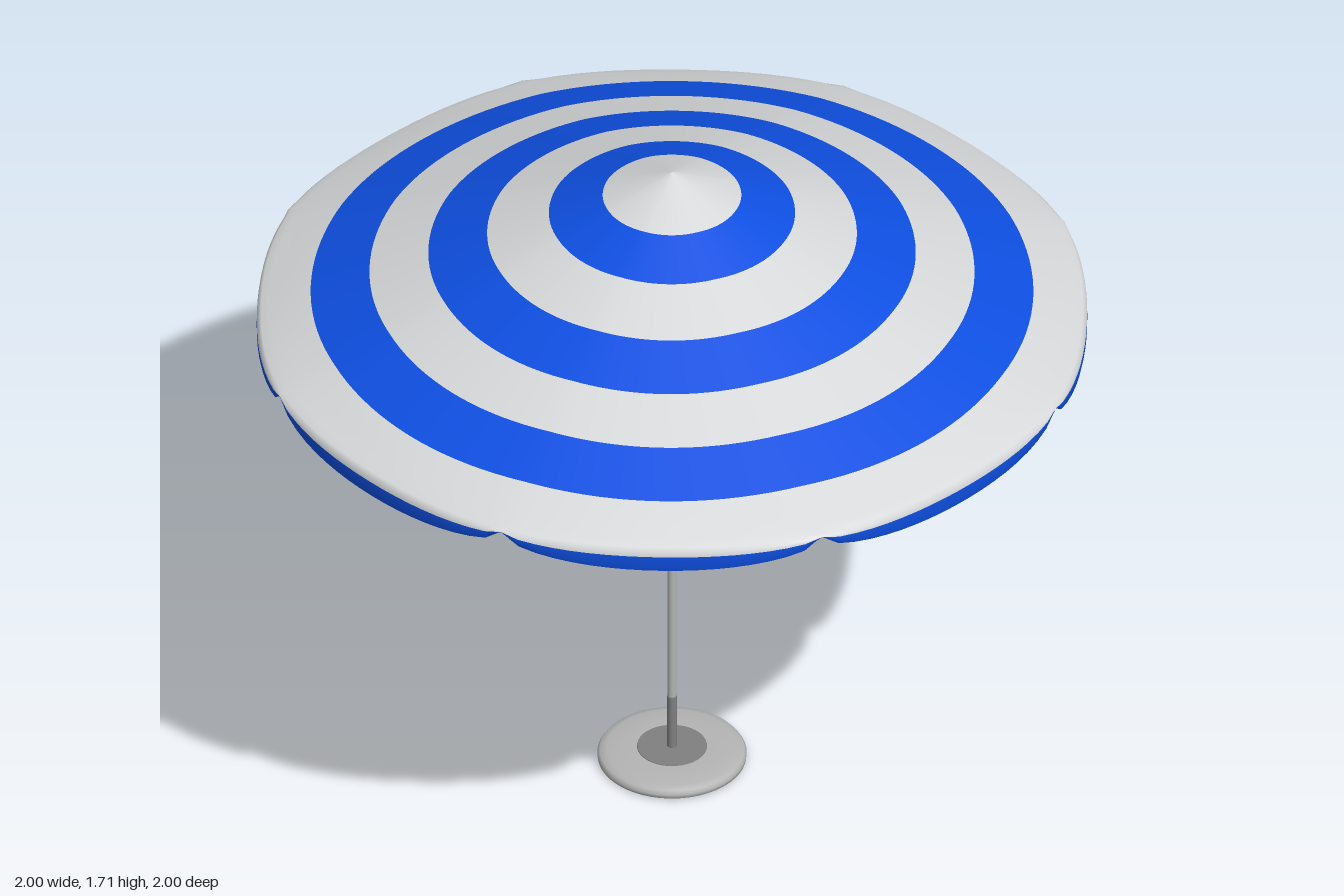
import * as THREE from 'three';

const fabric = (name, color) => new THREE.MeshStandardMaterial({ name, color, side: THREE.DoubleSide });
const white = fabric('white fabric', 0xd6d8d9);
const blue = fabric('blue fabric', 0x0e4fe2);
const metal = new THREE.MeshStandardMaterial({ name: 'grey metal', color: 0xb4b4b4 });
const dark = new THREE.MeshStandardMaterial({ name: 'dark metal', color: 0x808080 });

const RIBS = 8, STEPS = 18, N = RIBS * STEPS;
const APEX = 1.71, RIM = 1.31;

// One ring band of the canopy; profile(s) gives [radius, y] points from the
// inside out, where s runs 0 at a rib, 1 in the middle of a panel.
function band(name, material, profile) {
  const pos = [], idx = [];
  const rows = profile(0).length;
  for (let j = 0; j < N; j++) {
    const a = (j / N) * Math.PI * 2;
    const s = Math.sin(((j % STEPS) / STEPS) * Math.PI);
    for (const [r, y] of profile(s)) pos.push(r * Math.sin(a), y, r * Math.cos(a));
  }
  for (let j = 0; j < N; j++) {
    for (let i = 0; i < rows - 1; i++) {
      const A = j * rows + i, D = ((j + 1) % N) * rows + i;
      idx.push(A, A + 1, D + 1, A, D + 1, D);
    }
  }
  const g = new THREE.BufferGeometry();
  g.setAttribute('position', new THREE.Float32BufferAttribute(pos, 3));
  g.setIndex(idx);
  g.computeVertexNormals();
  const m = new THREE.Mesh(g, material);
  m.name = name;
  return m;
}

const slopeY = (r, s) => APEX - (APEX - RIM) * r - 0.005 * s * r;
const rimRadius = (s) => 1 - 0.012 * s * s;
const scallop = (s) => Math.pow(Math.max(s, 0), 0.38);

function tube(name, r, from, to, material = metal) {
  const dir = to.clone().sub(from);
  const m = new THREE.Mesh(new THREE.CylinderGeometry(r, r, dir.length(), 12), material);
  m.position.copy(from).add(to).multiplyScalar(0.5);
  m.quaternion.setFromUnitVectors(new THREE.Vector3(0, 1, 0), dir.normalize());
  m.name = name;
  return m;
}

export function createModel() {
  const model = new THREE.Group();
  model.name = 'parasol';

  // Striped canopy
  const canopy = new THREE.Group();
  canopy.name = 'canopy';
  const edges = [0.001, 0.165, 0.293, 0.44, 0.58, 0.72, 0.86];
  for (let k = 0; k < edges.length - 1; k++) {
    canopy.add(band('stripe' + (k + 1), k % 2 ? blue : white, (s) =>
      [0, 0.5, 1].map((t) => {
        const r = edges[k] + (edges[k + 1] - edges[k]) * t;
        return [r, slopeY(r, s)];
      })));
  }
  // Outer white stripe, rolling over the rim
  canopy.add(band('rimStripe', white, (s) => {
    const R = rimRadius(s), c = scallop(s);
    return [
      [0.86, slopeY(0.86, s)],
      [0.93, slopeY(0.93, s)],
      [R - 0.03, slopeY(0.97, s)],
      [R - 0.01, RIM + 0.004 - 0.003 * c],
      [R - 0.002, RIM + 0.001 - 0.009 * c],
      [R, RIM - 0.021 * c],
    ];
  }));
  // Scalloped blue valance
  canopy.add(band('valance', blue, (s) => {
    const R = rimRadius(s), c = scallop(s);
    return [[R, RIM - 0.021 * c], [R, RIM - 0.042 * c], [R - 0.004, RIM - 0.063 * c]];
  }));
  model.add(canopy);

  // Ribs under the canopy seams
  const ribs = new THREE.Group();
  ribs.name = 'ribs';
  for (let k = 0; k < RIBS; k++) {
    const a = (k / RIBS) * Math.PI * 2;
    ribs.add(tube('rib', 0.008,
      new THREE.Vector3(0, APEX - 0.015, 0),
      new THREE.Vector3(0.985 * Math.sin(a), RIM - 0.004, 0.985 * Math.cos(a))));
  }
  model.add(ribs);

  // Pole: thicker upper tube, lower tube, and socket in the base
  const at = (y) => new THREE.Vector3(0, y, 0);
  model.add(tube('upperPole', 0.013, at(0.68), at(1.69)));
  model.add(tube('lowerPole', 0.011, at(0.18), at(0.68)));
  model.add(tube('poleSocket', 0.012, at(0.02), at(0.18), dark));

  // Round base with a soft edge
  const profile = [[0, 0], [0.17, 0], [0.177, 0.004], [0.178, 0.014], [0.172, 0.023],
    [0.155, 0.028], [0.12, 0.031], [0.085, 0.032], [0, 0.03]];
  const base = new THREE.Mesh(
    new THREE.LatheGeometry(profile.map(([r, y]) => new THREE.Vector2(r, y)), 48), metal);
  base.name = 'base';
  model.add(base);

  // Dark centre plate on the base
  const plate = new THREE.Mesh(new THREE.CylinderGeometry(0.083, 0.085, 0.006, 36), dark);
  plate.position.y = 0.031;
  plate.name = 'basePlate';
  model.add(plate);

  return model;
}
